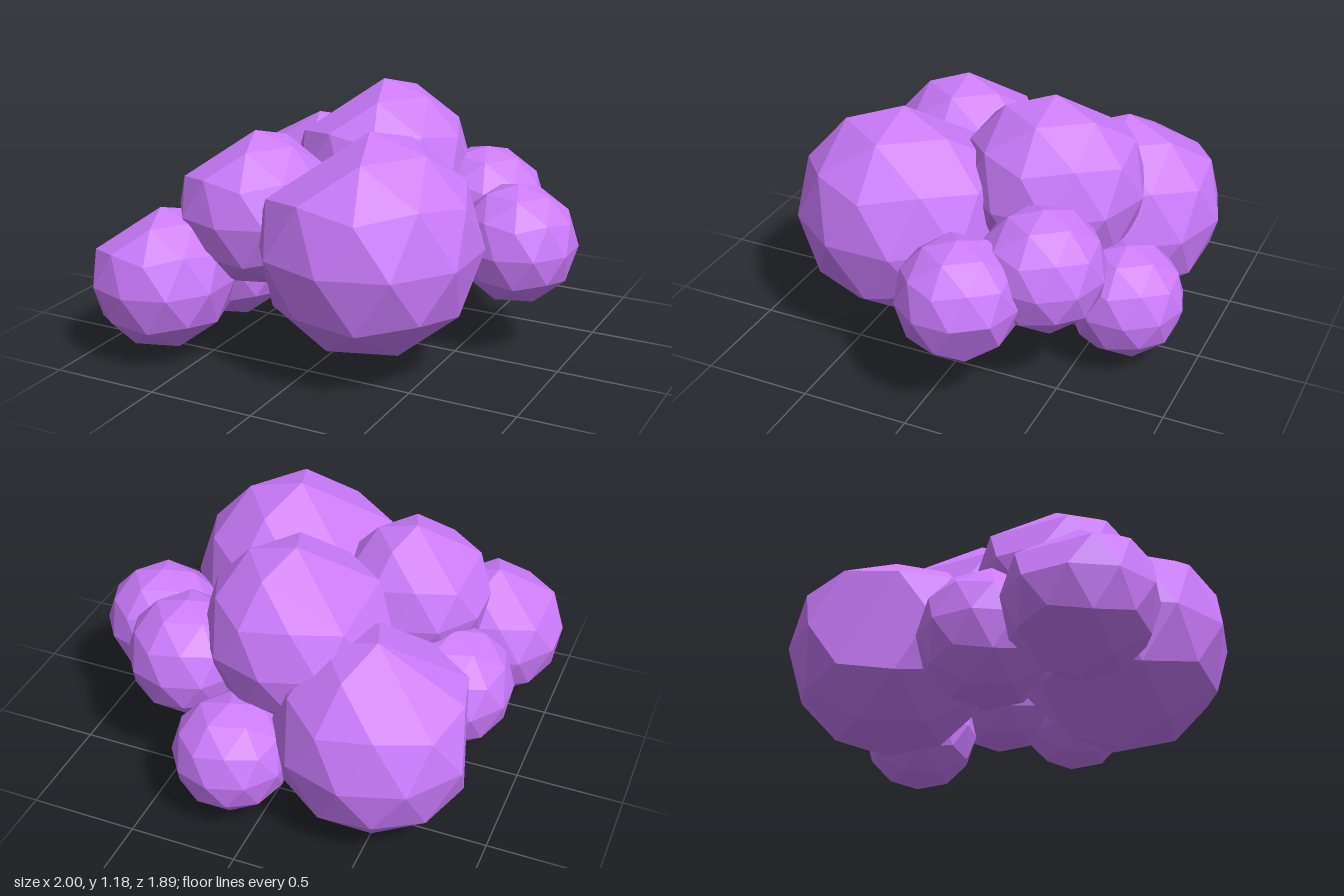
import * as THREE from 'three';
import { mergeVertices } from 'three/addons/utils/BufferGeometryUtils.js';
import { ConvexGeometry } from 'three/addons/geometries/ConvexGeometry.js';

// Corners left out of a ball to give it broad flat facets: [degrees from +x towards +z, height]
const CHISELLED = [[144, 0.851], [216, 0.851], [180, 0.526], [180, -0.851]];
const BACK_CUT = [[144, 0.851], [216, 0.851], [162, 0]];
const SIDE_CUT = [[324, -0.447]];

// Each puff: name, centre x, y, z, radius, cut corners
const PUFFS = [
  ['frontLargePuff', 0.24, 0.61, 0.365, 0.505, CHISELLED],
  ['topPuff', 0.0, 0.765, -0.265, 0.425, CHISELLED],
  ['backLargePuff', -0.45, 0.47, -0.455, 0.465, BACK_CUT],
  ['frontMiddlePuff', -0.35, 0.68, 0.33, 0.36, CHISELLED],
  ['frontSmallPuff', -0.685, 0.38, 0.61, 0.33, CHISELLED],
  ['sideLowPuff', -0.61, 0.35, 0.13, 0.3, []],
  ['backSmallPuff', 0.145, 0.33, -0.68, 0.27, []],
  ['backUpperPuff', 0.47, 0.6, -0.41, 0.285, []],
  ['sideSmallPuff', 0.735, 0.535, -0.135, 0.277, SIDE_CUT],
];

// Corners of a faceted ball, turned so that one points straight up
function ballCorners() {
  const ball = new THREE.IcosahedronGeometry(1, 1);
  ball.rotateZ(-Math.atan(2 / (1 + Math.sqrt(5))));
  ball.deleteAttribute('normal');
  ball.deleteAttribute('uv');
  const position = mergeVertices(ball).attributes.position;
  return Array.from({ length: position.count }, (_, i) => new THREE.Vector3().fromBufferAttribute(position, i));
}

function cutBall(corners, cuts) {
  const removed = cuts.map(([degrees, y]) => {
    const a = THREE.MathUtils.degToRad(degrees);
    const r = Math.sqrt(1 - y * y);
    return new THREE.Vector3(r * Math.cos(a), y, r * Math.sin(a));
  });
  return new ConvexGeometry(corners.filter((p) => removed.every((q) => p.distanceTo(q) > 0.1)));
}

export function createModel() {
  const group = new THREE.Group();
  group.name = 'cloud';

  const material = new THREE.MeshStandardMaterial({ color: 0xcd7cff, flatShading: true });
  const corners = ballCorners();

  for (const [name, x, y, z, radius, cuts] of PUFFS) {
    const puff = new THREE.Mesh(cutBall(corners, cuts), material);
    puff.name = name;
    puff.position.set(x, y, z);
    puff.scale.setScalar(radius);
    group.add(puff);
  }
  return group;
}
